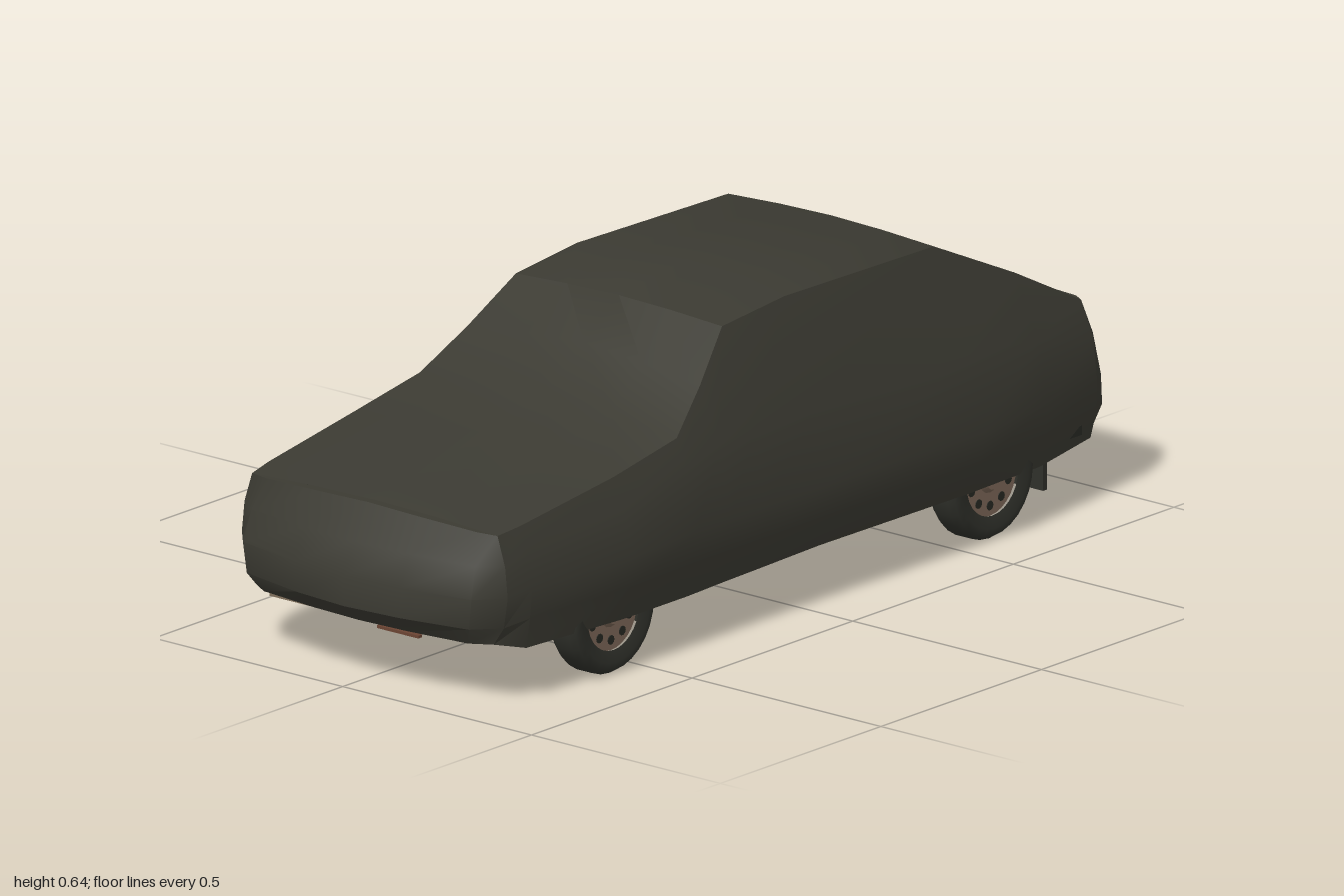
import * as THREE from 'three';
import { toCreasedNormals } from 'three/addons/utils/BufferGeometryUtils.js';

const mat = (name, color, side = THREE.FrontSide) => {
  const m = new THREE.MeshStandardMaterial({ color, side });
  m.name = name;
  return m;
};

// Surface through a grid of [x, y, z] points
function gridSurface(rows, flip, crease) {
  const n = rows[0].length, index = [];
  for (let i = 0; i < rows.length - 1; i++) {
    for (let j = 0; j < n - 1; j++) {
      const a = i * n + j, b = a + 1, c = a + n, d = c + 1;
      if (flip) index.push(a, c, b, b, c, d);
      else index.push(a, b, c, b, d, c);
    }
  }
  const g = new THREE.BufferGeometry();
  g.setAttribute('position', new THREE.Float32BufferAttribute(rows.flat(2), 3));
  g.setIndex(index);
  return toCreasedNormals(g, crease);
}

// Cover sections: z, centre height, then (x, y) of top edge, belt, widest, low and hem
const SECTIONS = [
  [0.90, 0.372, 0.325, 0.362, 0.345, 0.300, 0.352, 0.235, 0.342, 0.170, 0.315, 0.130],
  [0.84, 0.384, 0.333, 0.370, 0.354, 0.315, 0.366, 0.245, 0.360, 0.180, 0.350, 0.116],
  [0.56, 0.432, 0.342, 0.408, 0.368, 0.345, 0.398, 0.250, 0.389, 0.185, 0.368, 0.113],
  [0.36, 0.476, 0.340, 0.442, 0.364, 0.390, 0.394, 0.255, 0.387, 0.185, 0.370, 0.114],
  [0.25, 0.550, 0.308, 0.520, 0.361, 0.405, 0.392, 0.255, 0.386, 0.185, 0.368, 0.116],
  [0.14, 0.622, 0.273, 0.612, 0.358, 0.415, 0.392, 0.255, 0.386, 0.185, 0.368, 0.118],
  [-0.05, 0.645, 0.275, 0.630, 0.358, 0.415, 0.392, 0.255, 0.386, 0.185, 0.368, 0.122],
  [-0.52, 0.632, 0.272, 0.622, 0.360, 0.410, 0.407, 0.255, 0.395, 0.185, 0.370, 0.120],
  [-0.75, 0.524, 0.290, 0.515, 0.352, 0.385, 0.378, 0.255, 0.374, 0.185, 0.358, 0.118],
  [-0.94, 0.425, 0.305, 0.415, 0.338, 0.340, 0.348, 0.250, 0.345, 0.185, 0.330, 0.128],
];

function sectionPoints([z, top, ...p]) {
  const half = [];
  for (let i = 0; i < p.length; i += 2) half.push([p[i], p[i + 1], z]);
  const mid = [half[0][0] * 0.5, (top + half[0][1]) / 2 + 0.002, z];
  const right = [mid, ...half];
  const left = right.map(([x, y, w]) => [-x, y, w]).reverse();
  return [...left, [0, top, z], ...right];
}

// End panel: a flat lip on the shell's top edge, then rows bulging out from the side points
function endPanel(section, steps, bulge, sign) {
  const [z, top, ...p] = section;
  const row = (b, k) => steps.map(([t, f]) => {
    const crown = k === 0 ? (top - p[1]) * (1 - Math.abs(t)) : 0;
    return [t * p[2 * k], p[2 * k + 1] + crown, z + sign * b * f];
  });
  return gridSurface([row(-0.006, 0), ...bulge.map(row)], sign > 0, 0.7);
}
const mirrorSteps = (s) => [...s.map(([t, f]) => [-t, f]), [0, 1], ...s.slice().reverse()];

export function createModel() {
  const group = new THREE.Group();
  group.name = 'coveredCar';
  const cover = mat('coverCloth', 0x3b3a32, THREE.DoubleSide);
  const rubber = mat('tyreRubber', 0x2f302a);
  const rimMat = mat('rimMetal', 0x7d6858);
  const under = mat('underbodyBlack', 0x272823);
  const rail = mat('chassisGrey', 0x35352f);
  const rust = mat('exhaustBrown', 0x6b4433);
  const darkRust = mat('floorBrown', 0x44291f);
  const tan = mat('sillTan', 0x80705c);

  const add = (name, geo, material, x = 0, y = 0, z = 0, parent = group) => {
    const m = new THREE.Mesh(geo, material);
    m.name = name;
    m.position.set(x, y, z);
    parent.add(m);
    return m;
  };
  const box = (name, w, h, d, m, x, y, z) => add(name, new THREE.BoxGeometry(w, h, d), m, x, y, z);
  const tube = (name, pts, r, m) => add(name, new THREE.TubeGeometry(
    new THREE.CatmullRomCurve3(pts.map((p) => new THREE.Vector3(...p))), 32, r, 8), m);

  // Cloth cover: main shell, nose and tail
  add('coverShell', gridSurface(SECTIONS.map(sectionPoints), true, 0.5), cover);
  add('coverNose', endPanel(SECTIONS[0], mirrorSteps([[1, 0], [0.86, 0.55], [0.4, 0.88]]),
    [0.02, 0.065, 0.1, 0.096, 0.05], 1), cover);
  add('coverTail', endPanel(SECTIONS.at(-1), mirrorSteps([[1, 0], [0.92, 0.85], [0.5, 0.97]]),
    [0.015, 0.035, 0.052, 0.06, 0.035], -1), cover);

  // Wheels
  const tyreProfile = [[0.08, -0.03], [0.105, -0.037], [0.122, -0.033], [0.13, -0.02],
    [0.13, 0.02], [0.122, 0.033], [0.105, 0.037], [0.08, 0.03]].map((p) => new THREE.Vector2(...p));
  const tyreGeo = new THREE.LatheGeometry(tyreProfile, 28);
  const rimGeo = new THREE.CylinderGeometry(0.082, 0.082, 0.045, 28);
  const hubGeo = new THREE.CylinderGeometry(0.024, 0.034, 0.014, 16);
  const drumGeo = new THREE.CylinderGeometry(0.066, 0.066, 0.03, 20);
  const holeGeo = new THREE.CylinderGeometry(0.01, 0.01, 0.004, 10);
  for (const side of [-1, 1]) {
    for (const z of [0.58, -0.6]) {
      const wheel = new THREE.Group();
      wheel.name = (z > 0 ? 'front' : 'rear') + 'Wheel' + (side > 0 ? 'Left' : 'Right');
      wheel.position.set(side * 0.33, 0.131, z);
      wheel.rotation.z = -side * Math.PI / 2;
      group.add(wheel);
      add('tyre', tyreGeo, rubber, 0, 0, 0, wheel);
      add('rim', rimGeo, rimMat, 0, 0, 0, wheel);
      add('hub', hubGeo, rimMat, 0, 0.028, 0, wheel);
      add('brakeDrum', drumGeo, rail, 0, -0.03, 0, wheel);
      for (let i = 0; i < 10; i++) {
        const a = (i / 10) * Math.PI * 2;
        add('rimSlot', holeGeo, under, Math.cos(a) * 0.06, 0.022, Math.sin(a) * 0.06, wheel);
      }
    }
    // Mud flaps, chassis rails and suspension of each side
    box('frontMudFlap', 0.06, 0.075, 0.012, rubber, side * 0.27, 0.098, 0.42);
    box('rearMudFlap', 0.11, 0.075, 0.012, rubber, side * 0.295, 0.098, -0.775);
    box('chassisRail', 0.04, 0.03, 1.5, rail, side * 0.2, 0.14, -0.02);
    box('floorRib', 0.02, 0.012, 0.5, rail, side * 0.11, 0.146, 0.0);
    box('leafSpring', 0.03, 0.016, 0.46, rail, side * 0.24, 0.13, -0.6);
    tube('frontArm', [[side * 0.1, 0.12, 0.5], [side * 0.2, 0.108, 0.55], [side * 0.3, 0.11, 0.58]], 0.013, rail);
  }

  // Underbody
  box('floorPan', 0.7, 0.02, 1.66, under, 0, 0.16, -0.06);
  box('frontFloor', 0.6, 0.02, 0.13, under, 0, 0.16, 0.83);
  box('sill', 0.022, 0.02, 0.86, tan, 0.352, 0.13, -0.03);
  box('rearFloorPanel', 0.24, 0.008, 0.3, darkRust, 0.06, 0.147, -0.5);
  box('sideFloorPanel', 0.12, 0.008, 0.3, darkRust, -0.27, 0.147, 0.2);
  box('frontCrossmember', 0.46, 0.03, 0.06, rail, 0, 0.102, 0.54);
  box('engineSump', 0.16, 0.04, 0.2, rail, -0.03, 0.136, 0.66);
  box('frontValance', 0.5, 0.02, 0.05, rail, 0, 0.14, 0.87);
  box('lipStrip', 0.11, 0.006, 0.012, rust, 0.095, 0.122, 0.935);
  box('lipStripRight', 0.18, 0.006, 0.014, tan, -0.17, 0.124, 0.915);
  box('fuelTank', 0.24, 0.03, 0.18, rail, -0.1, 0.14, -0.84);
  const axle = add('rearAxle', new THREE.CylinderGeometry(0.02, 0.02, 0.6, 12), rail, 0, 0.125, -0.6);
  axle.rotation.z = Math.PI / 2;
  add('differential', new THREE.SphereGeometry(0.04, 16, 10), rail, 0, 0.128, -0.6);
  const shaft = add('driveShaft', new THREE.CylinderGeometry(0.014, 0.014, 1.0, 10), rail, -0.03, 0.14, -0.08);
  shaft.rotation.x = Math.PI / 2;

  // Exhaust
  tube('exhaustPipe', [[0.1, 0.14, 0.68], [0.09, 0.126, 0.5], [0.03, 0.122, 0.25], [0.01, 0.122, 0],
    [0.05, 0.124, -0.3], [0.13, 0.15, -0.6], [0.15, 0.135, -0.82]], 0.01, rust);
  const muffler = add('middleMuffler', new THREE.CylinderGeometry(0.027, 0.027, 0.18, 16), rust, 0.01, 0.13, 0.08);
  muffler.rotation.x = Math.PI / 2;
  const rear = add('rearMuffler', new THREE.CylinderGeometry(0.034, 0.034, 0.18, 16), rust, 0.17, 0.148, -0.83);
  rear.rotation.z = Math.PI / 2;

  return group;
}
